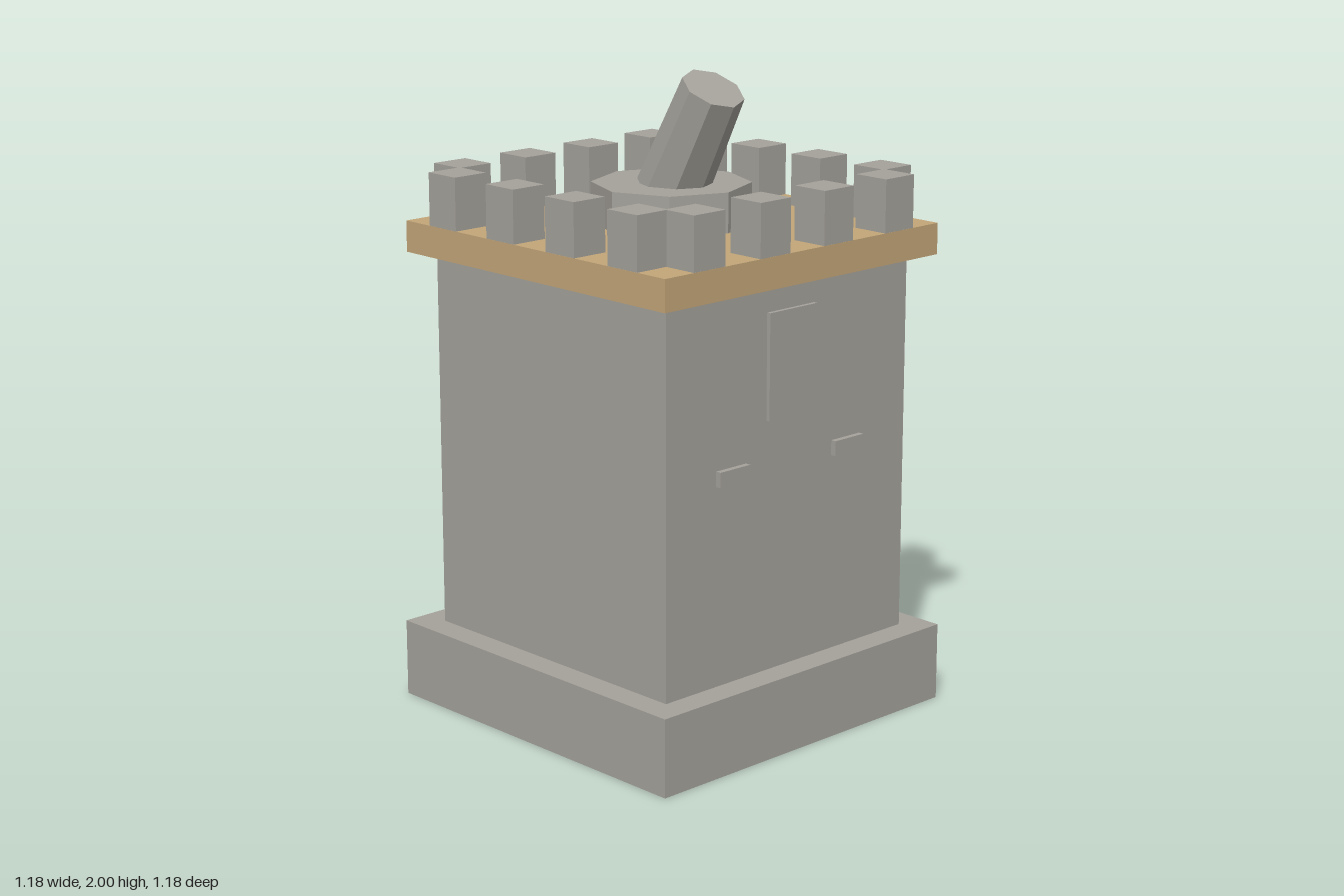
import * as THREE from 'three';

export function createModel() {
  const tower = new THREE.Group();
  tower.name = 'gunTower';

  const stone = new THREE.MeshStandardMaterial({ color: 0xa5a29b, flatShading: true });
  stone.name = 'stone grey';
  const timber = new THREE.MeshStandardMaterial({ color: 0xc3a679, flatShading: true });
  timber.name = 'timber tan';

  const add = (name, geometry, material, x, y, z, parent = tower) => {
    const mesh = new THREE.Mesh(geometry, material);
    mesh.name = name;
    mesh.position.set(x, y, z);
    parent.add(mesh);
    return mesh;
  };
  // Box given by its size and the height of its underside
  const box = (name, material, w, h, d, x, bottom, z, parent) =>
    add(name, new THREE.BoxGeometry(w, h, d), material, x, bottom + h / 2, z, parent);

  // Plinth, shaft and deck
  box('base', stone, 1.182, 0.243, 1.182, 0, 0, 0);
  box('shaft', stone, 1.01, 1.187, 1.01, 0, 0.243, 0);
  box('deck', timber, 1.14, 0.097, 1.14, 0, 1.43, 0);

  // Front door panel and the two slits below it
  box('frontPanel', stone, 0.197, 0.325, 0.03, 0, 1.02, 0.503);
  for (const side of [-1, 1]) {
    box(side > 0 ? 'leftSlit' : 'rightSlit', stone, 0.122, 0.047, 0.04, side * 0.243, 0.859, 0.503);
  }

  // Four battlements along each side of the deck, corners left open
  const sides = ['front', 'left', 'back', 'right'];
  sides.forEach((side, i) => {
    const row = new THREE.Group();
    row.name = side + 'Battlements';
    row.rotation.y = (i * Math.PI) / 2;
    for (const x of [-0.396, -0.132, 0.132, 0.396]) {
      box('merlon', stone, 0.123, 0.163, 0.121, x, 1.527, 0.509, row);
    }
    tower.add(row);
  });

  // Octagonal gun mount
  add('gunMount', new THREE.CylinderGeometry(0.244, 0.244, 0.123, 8), stone, 0, 1.5885, 0);

  // Tapered barrel pivoted in the mount and leaning forward
  const length = 0.374;
  const barrel = new THREE.CylinderGeometry(0.098, 0.11, length, 8).translate(0, length / 2, 0);
  add('barrel', barrel, stone, 0, 1.625, 0).rotation.x = 0.5;

  return tower;
}
